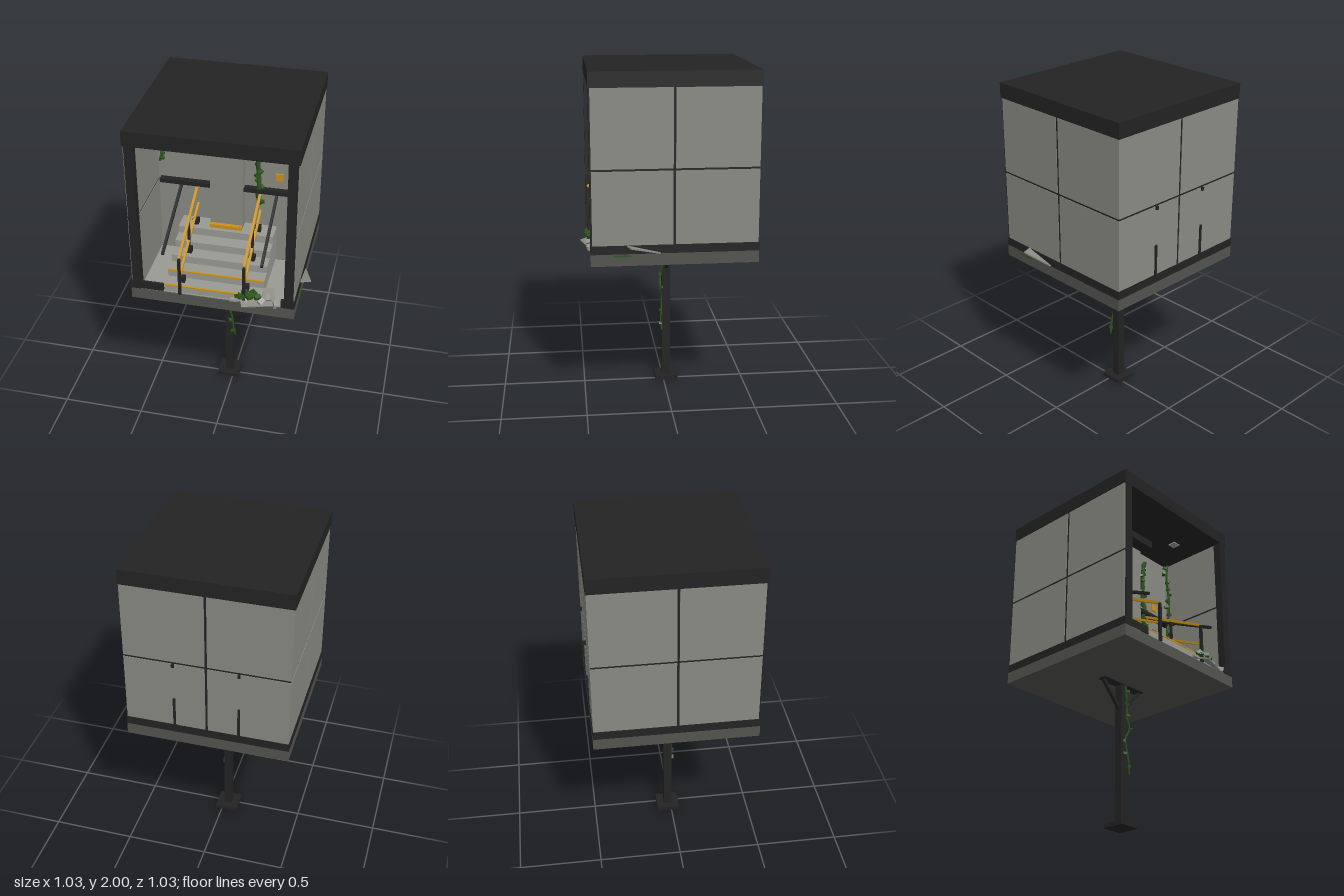
import * as THREE from 'three';

const mat = (name, color, extra = {}) => Object.assign(new THREE.MeshStandardMaterial({ color, ...extra }), { name });

export function createModel() {
  const root = new THREE.Group();
  root.name = 'raisedPavilion';
  const dark = mat('dark steel', 0x232323);
  const wall = mat('concrete panel', 0x8a8a83);
  const slab = mat('dark concrete', 0x53534e);
  const step = mat('pale concrete', 0x9a9a94);
  const yellow = mat('safety yellow', 0xc8921a);
  const green = mat('leaf green', 0x2c551c);
  const CX = -0.03, CZ = -0.025;

  const group = (name) => {
    const g = new THREE.Group();
    g.name = name;
    root.add(g);
    return g;
  };
  // Box given by its minimum and maximum on each axis
  const box = (name, m, x0, x1, y0, y1, z0, z1, parent = root) => {
    const b = new THREE.Mesh(new THREE.BoxGeometry(x1 - x0, y1 - y0, z1 - z0), m);
    b.position.set((x0 + x1) / 2, (y0 + y1) / 2, (z0 + z1) / 2);
    b.name = name;
    parent.add(b);
    return b;
  };
  // Square bar between two points
  const bar = (name, m, a, b, w, parent = root) => {
    const p = new THREE.Vector3(...a), q = new THREE.Vector3(...b);
    const r = new THREE.Mesh(new THREE.BoxGeometry(w, w, p.distanceTo(q)), m);
    r.position.copy(p).add(q).multiplyScalar(0.5);
    r.lookAt(q);
    r.name = name;
    parent.add(r);
    return r;
  };

  // Support: foot, pole and struts
  box('footPlate', dark, -0.1, 0.04, 0, 0.025, -0.09, 0.05);
  box('pole', dark, -0.055, -0.005, 0.02, 0.9, -0.045, 0.005);
  for (const s of [-1, 1]) {
    bar('strut', dark, [CX + s * 0.165, 0.9, -0.02], [CX + s * 0.015, 0.735, -0.02], 0.02);
  }
  box('mountPlate', dark, -0.2, 0.14, 0.89, 0.9, -0.05, 0.01);

  // Floor and roof
  box('floorSlab', slab, -0.515, 0.455, 0.895, 0.965, -0.51, 0.46);
  box('floorFinish', step, -0.46, 0.4, 0.965, 0.97, 0, 0.455);
  box('roof', dark, -0.515, 0.455, 1.91, 2, -0.51, 0.46);

  // Outer walls: panels in two rows with dark joints between them
  const shell = group('outerWalls');
  const rows = [[0.965, 1.444], [1.456, 1.91]];
  const gap = 0.007;
  for (const [y0, y1] of rows) {
    for (const [z0, z1] of [[-0.506, CZ - gap + 0.005], [CZ + gap + 0.005, 0.45]]) {
      box('sidePanel', wall, -0.511, -0.458, y0, y1, z0, z1, shell);
      box('sidePanel', wall, 0.398, 0.451, y0, y1, z0, z1, shell);
    }
    for (const [x0, x1] of [[-0.458, CX - gap], [CX + gap, 0.398]]) {
      box('backPanel', wall, x0, x1, y0, y1, -0.506, -0.46, shell);
    }
  }
  for (const [x0, x1] of [[-0.508, -0.461], [0.401, 0.448]]) {
    box('sideJoint', dark, x0, x1, 1.44, 1.46, -0.503, 0.45, shell);
    box('sideJointVertical', dark, x0, x1, 0.965, 1.91, CZ - 0.01, CZ + 0.02, shell);
  }
  box('backJoint', dark, -0.508, 0.448, 1.44, 1.46, -0.503, -0.463, shell);
  box('backJointVertical', dark, CX - 0.012, CX + 0.012, 0.965, 1.91, -0.503, -0.463, shell);

  // Base band, broken at the front opening
  const band = group('baseBand');
  box('leftBand', dark, 0.445, 0.455, 0.965, 1.015, -0.51, 0.46, band);
  box('rightBand', dark, -0.515, -0.505, 0.965, 1.015, -0.51, 0.46, band);
  box('backBand', dark, -0.515, 0.455, 0.965, 1.015, -0.51, -0.5, band);
  box('frontBand', dark, -0.515, -0.32, 0.97, 1.015, 0.44, 0.46, band);
  box('frontBand', dark, 0.375, 0.455, 0.965, 1.015, 0.44, 0.46, band);

  // Front columns and header
  box('frontColumn', dark, -0.505, -0.455, 0.965, 1.91, 0.41, 0.459);
  box('frontColumn', dark, 0.393, 0.447, 0.965, 1.91, 0.41, 0.459);
  box('doorHeader', dark, -0.15, 0.09, 1.86, 1.912, 0, 0.14);
  for (const x of [-0.27, 0.21]) box('ceilingLight', step, x - 0.025, x + 0.025, 1.903, 1.911, 0.2, 0.25);

  // Middle wall with raised door panel, side ledges and sign
  box('middleWall', wall, -0.458, 0.398, 0.965, 1.91, -0.04, -0.01);
  box('doorPanel', wall, -0.13, 0.065, 1.2, 1.91, -0.01, 0.06);
  box('threshold', yellow, -0.13, 0.065, 1.185, 1.225, 0.05, 0.085);
  box('ledge', dark, -0.445, -0.13, 1.443, 1.468, -0.01, 0.03);
  box('ledge', dark, 0.065, 0.385, 1.443, 1.468, -0.01, 0.03);
  box('sign', yellow, 0.247, 0.293, 1.522, 1.568, -0.012, -0.003);

  // Stairs: five steps rising to the back
  const stairs = group('stairs');
  for (let i = 0; i < 5; i++) {
    const top = 1.015 + i * 0.047, z1 = 0.45 - i * 0.085;
    box('step', step, -0.315, 0.26, 0.968, top, -0.01, z1, stairs);
    if (i < 2) box('stepEdge', yellow, -0.314, 0.259, top - 0.006, top + 0.002, z1 - 0.008, z1 + 0.003, stairs);
    for (const x of [-0.22, 0.16]) {
      if (i % 2 === 0) box('railFoot', dark, x - 0.018, x + 0.018, top, top + 0.035, z1 - 0.07, z1 - 0.035, stairs);
    }
  }

  // Handrails: yellow pairs on posts, dark ones outside
  const rails = group('handrails');
  for (const x of [-0.22, 0.16]) {
    bar('topRail', yellow, [x, 1.215, 0.455], [x, 1.44, -0.01], 0.015, rails);
    bar('midRail', yellow, [x, 1.09, 0.445], [x, 1.305, -0.01], 0.013, rails);
    box('frontPost', dark, x - 0.008, x + 0.008, 0.965, 1.21, 0.452, 0.468, rails);
    box('middlePost', dark, x - 0.007, x + 0.007, 1.1, 1.32, 0.22, 0.234, rails);
    box('backPost', dark, x - 0.007, x + 0.007, 1, 1.205, -0.514, -0.5, rails);
    box('backRailEnd', dark, x - 0.008, x + 0.008, 1.425, 1.445, -0.518, -0.5, rails);
  }
  for (const x of [-0.315, 0.26]) bar('outerRail', dark, [x, 1.235, 0.46], [x, 1.445, 0], 0.016, rails);

  // Fallen slabs lying over the floor edge
  const slabA = box('fallenSlab', wall, -0.1, 0.1, -0.004, 0.004, -0.065, 0.065);
  slabA.position.set(0.235, 0.99, 0.425);
  slabA.rotation.set(0.3, 0.27, 0, 'YXZ');
  const slabB = box('fallenSlab', wall, -0.06, 0.06, -0.004, 0.004, -0.095, 0.095);
  slabB.position.set(0.43, 0.99, 0.165);
  slabB.rotation.set(-0.25, 0.3, 0, 'YXZ');
  for (let i = 0; i < 7; i++) {
    const r = box('rubble', step, -0.02, 0.02, -0.008, 0.008, -0.014, 0.014);
    r.position.set(0.1 + i * 0.04, 0.98 + (i % 3) * 0.012, 0.458 - (i % 2) * 0.03);
    r.rotation.set(0.3 * i, i, 0.2 * i);
  }

  // Plants: winding stems with small block leaves
  let seed = 7;
  const rnd = () => (seed = (seed * 16807) % 2147483647) / 2147483647 - 0.5;
  const leaf = (parent, x, y, z, s) => {
    const l = box('leaf', green, -s, s, -s * 0.6, s * 0.6, -s * 0.7, s * 0.7, parent);
    l.position.set(x, y, z);
    l.rotation.set(rnd(), rnd() * 2, rnd());
  };
  const vine = (name, x, z, y0, y1, r, n, sway) => {
    const g = group(name), pts = [];
    for (let i = 0; i <= 8; i++) {
      pts.push(new THREE.Vector3(x + rnd() * sway, y0 + (y1 - y0) * i / 8, z + rnd() * sway * 0.4));
    }
    const curve = new THREE.CatmullRomCurve3(pts);
    const stem = new THREE.Mesh(new THREE.TubeGeometry(curve, 24, r, 5), green);
    stem.name = 'stem';
    g.add(stem);
    for (let i = 0; i < n; i++) {
      const p = curve.getPoint((i + 0.5) / n);
      leaf(g, p.x + rnd() * 0.04, p.y, p.z + rnd() * 0.02, 0.013);
    }
  };
  vine('wallVine', -0.43, 0.01, 1.58, 1.82, 0.008, 6, 0.025);
  vine('wallVine', 0.15, 0.01, 1.36, 1.84, 0.014, 14, 0.035);
  vine('wallVine', 0.365, 0.03, 1.2, 1.9, 0.008, 14, 0.025);
  vine('poleVine', -0.005, 0.01, 0.33, 0.89, 0.006, 7, 0.035);

  const bush = group('floorPlant');
  for (let i = 0; i < 12; i++) leaf(bush, 0.19 + rnd() * 0.13, 1.012 + rnd() * 0.015, 0.44 + rnd() * 0.06, 0.018);
  const moss = box('edgeMoss', green, 0.455, 0.463, 0.95, 0.96, 0.23, 0.33);
  moss.rotation.x = 0.02;

  return root;
}
